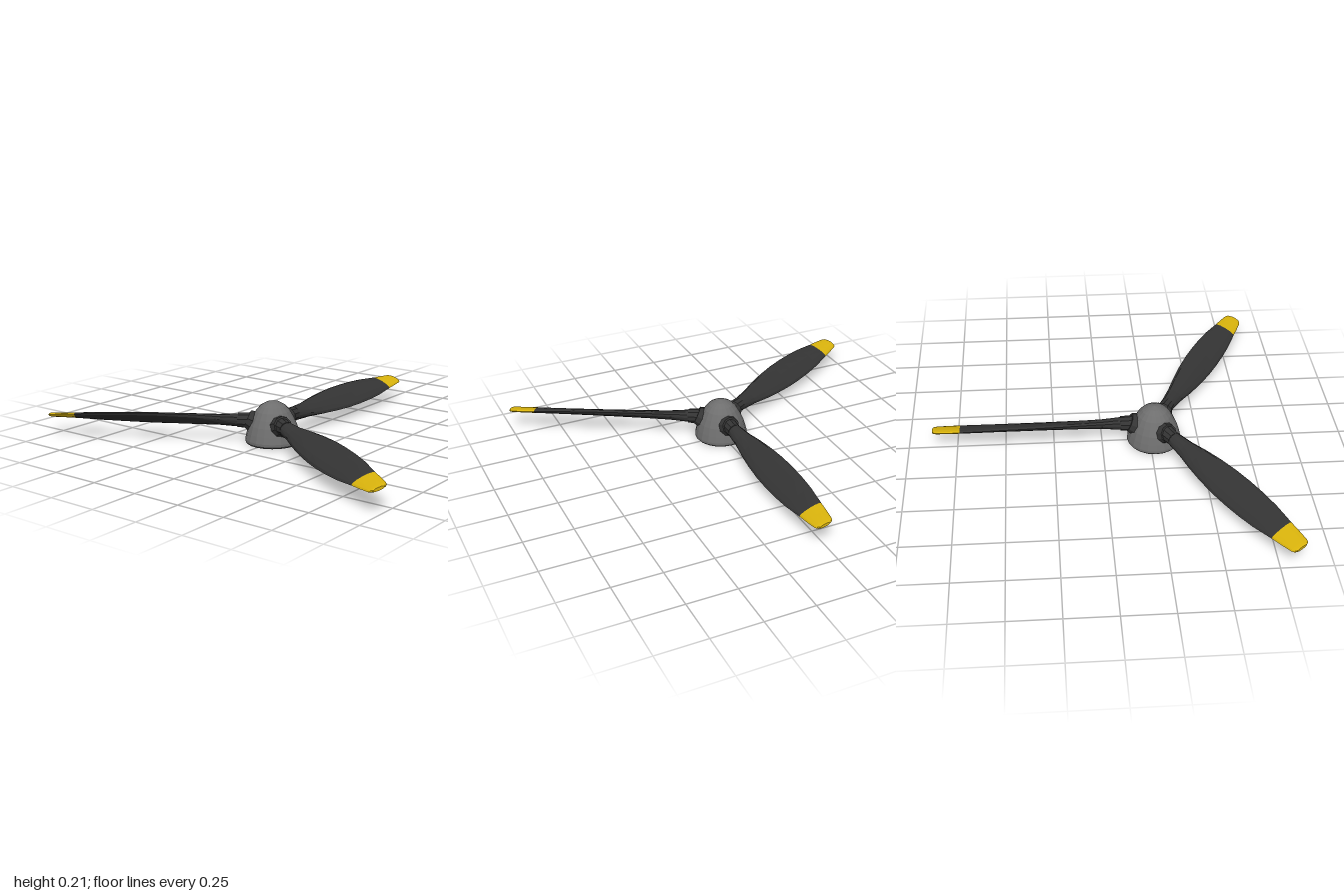
import * as THREE from 'three';

const mat = (name, color, flatShading) => {
  const m = new THREE.MeshStandardMaterial({ color, flatShading });
  m.name = name;
  return m;
};

// Blade stations: [distance from hub, half chord, half thickness, pitch in radians]
const bladeStations = [
  [0.08, 0.037, 0.035, 0.6],
  [0.17, 0.037, 0.033, 0.6],
  [0.27, 0.046, 0.025, 0.55],
  [0.37, 0.062, 0.022, 0.55],
  [0.47, 0.074, 0.020, 0.53],
  [0.58, 0.082, 0.018, 0.52],
  [0.68, 0.084, 0.017, 0.5],
  [0.78, 0.082, 0.016, 0.48],
  [0.88, 0.076, 0.015, 0.44],
  [1.0, 0.061, 0.013, 0.36],
];
const tipStations = [
  [1.0, 0.061, 0.013, 0.36],
  [1.06, 0.055, 0.012, 0.32],
  [1.12, 0.047, 0.011, 0.28],
  [1.135, 0.041, 0.010, 0.27],
  [1.142, 0.028, 0.008, 0.27],
];

// Lofts oval sections along -z, with an optional end cap
function loft(stations, capped) {
  const N = 12, pos = [], idx = [];
  for (const [r, c, t, a] of stations) {
    for (let j = 0; j < N; j++) {
      const th = (j / N) * Math.PI * 2;
      const u = Math.cos(th) * c, v = Math.sin(th) * t;
      pos.push(u * Math.cos(a) + v * Math.sin(a), -u * Math.sin(a) + v * Math.cos(a), -r);
    }
  }
  for (let i = 0; i < stations.length - 1; i++) {
    for (let j = 0; j < N; j++) {
      const k = (j + 1) % N;
      const a = i * N + j, b = i * N + k, c = a + N, d = b + N;
      idx.push(a, c, b, b, c, d);
    }
  }
  if (capped) {
    const last = (stations.length - 1) * N, centre = pos.length / 3;
    pos.push(0, 0, -stations[stations.length - 1][0]);
    for (let j = 0; j < N; j++) idx.push(centre, last + (j + 1) % N, last + j);
  }
  const g = new THREE.BufferGeometry();
  g.setAttribute('position', new THREE.Float32BufferAttribute(pos, 3));
  g.setIndex(idx);
  g.computeVertexNormals();
  return g;
}

export function createModel() {
  const model = new THREE.Group();
  model.name = 'propeller';
  const grey = mat('spinner grey', 0x6e6e6e, true);
  const black = mat('blade black', 0x343434, true);
  const yellow = mat('tip yellow', 0xdab40c, true);

  const add = (parent, name, geo, material) => {
    const m = new THREE.Mesh(geo, material);
    m.name = name;
    parent.add(m);
    return m;
  };

  const hub = new THREE.Group();
  hub.name = 'hub';
  hub.position.z = 0.27;
  model.add(hub);

  // Domed spinner with a closed base
  const profile = [
    [0, 0], [0.132, 0], [0.139, 0.008], [0.139, 0.022], [0.131, 0.055], [0.119, 0.095],
    [0.103, 0.13], [0.085, 0.163], [0.063, 0.188], [0.034, 0.205], [0, 0.213],
  ].map(([x, y]) => new THREE.Vector2(x, y));
  add(hub, 'spinner', new THREE.LatheGeometry(profile, 20), grey);

  const bladeGeo = loft(bladeStations, false);
  const tipGeo = loft(tipStations, true);
  const collarGeo = new THREE.CylinderGeometry(0.047, 0.058, 0.035, 10).rotateX(-Math.PI / 2);
  const sleeveGeo = new THREE.CylinderGeometry(0.037, 0.043, 0.09, 10).rotateX(-Math.PI / 2);

  // Three blades, one third of a turn apart
  for (let i = 0; i < 3; i++) {
    const arm = new THREE.Group();
    arm.name = 'bladeAssembly' + (i + 1);
    arm.position.y = 0.108;
    arm.rotation.y = (i * Math.PI * 2) / 3;
    hub.add(arm);
    add(arm, 'blade', bladeGeo, black);
    add(arm, 'bladeTip', tipGeo, yellow);
    // Collar lies against the sloping spinner wall
    const collar = add(arm, 'rootCollar', collarGeo, black);
    collar.position.z = -0.112;
    collar.rotation.x = 0.4;
    add(arm, 'rootSleeve', sleeveGeo, black).position.z = -0.13;
  }
  return model;
}
